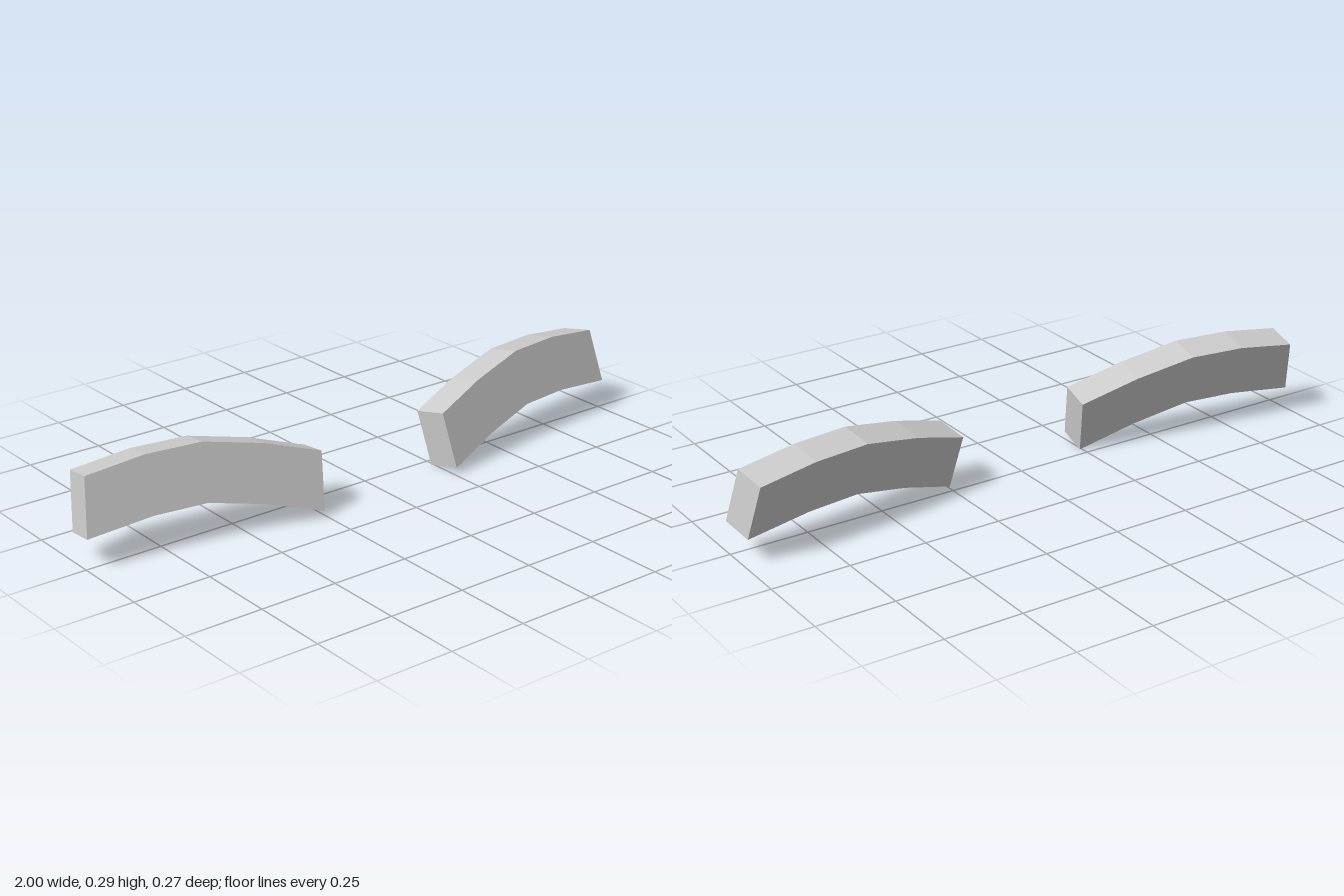
import * as THREE from 'three';

// Front outline of one bar: upper edge from inner to outer end, then lower edge back
const upper = [[0.235, 0.195], [0.415, 0.253], [0.605, 0.295], [0.785, 0.295], [0.973, 0.272]];
const lower = [[1.0, 0.1], [0.79, 0.122], [0.62, 0.122], [0.44, 0.08], [0.258, 0.02]];

// Arched bar with a front face that leans back and sweeps outward
function makeBar(side, material) {
  const outline = new THREE.Shape([...upper, ...lower].map(([x, y]) => new THREE.Vector2(side * x, y)));
  const geometry = new THREE.ExtrudeGeometry(outline, { depth: 1, bevelEnabled: false });
  geometry.translate(0, 0, -1);
  // Shear the straight extrusion into the tilted, swept slab
  geometry.applyMatrix4(new THREE.Matrix4().set(
    1, 0, side * 0.015, 0,
    0, 1, 0.02, 0,
    side * -0.133, -0.27, 0.105, 0.175,
    0, 0, 0, 1
  ));
  geometry.computeVertexNormals();
  return new THREE.Mesh(geometry, material);
}

export function createModel() {
  const group = new THREE.Group();
  group.name = 'eyebrows';
  const material = new THREE.MeshStandardMaterial({ color: 0xcccccc, flatShading: true });
  for (const [name, side] of [['leftEyebrow', 1], ['rightEyebrow', -1]]) {
    const bar = makeBar(side, material);
    bar.name = name;
    group.add(bar);
  }
  return group;
}
